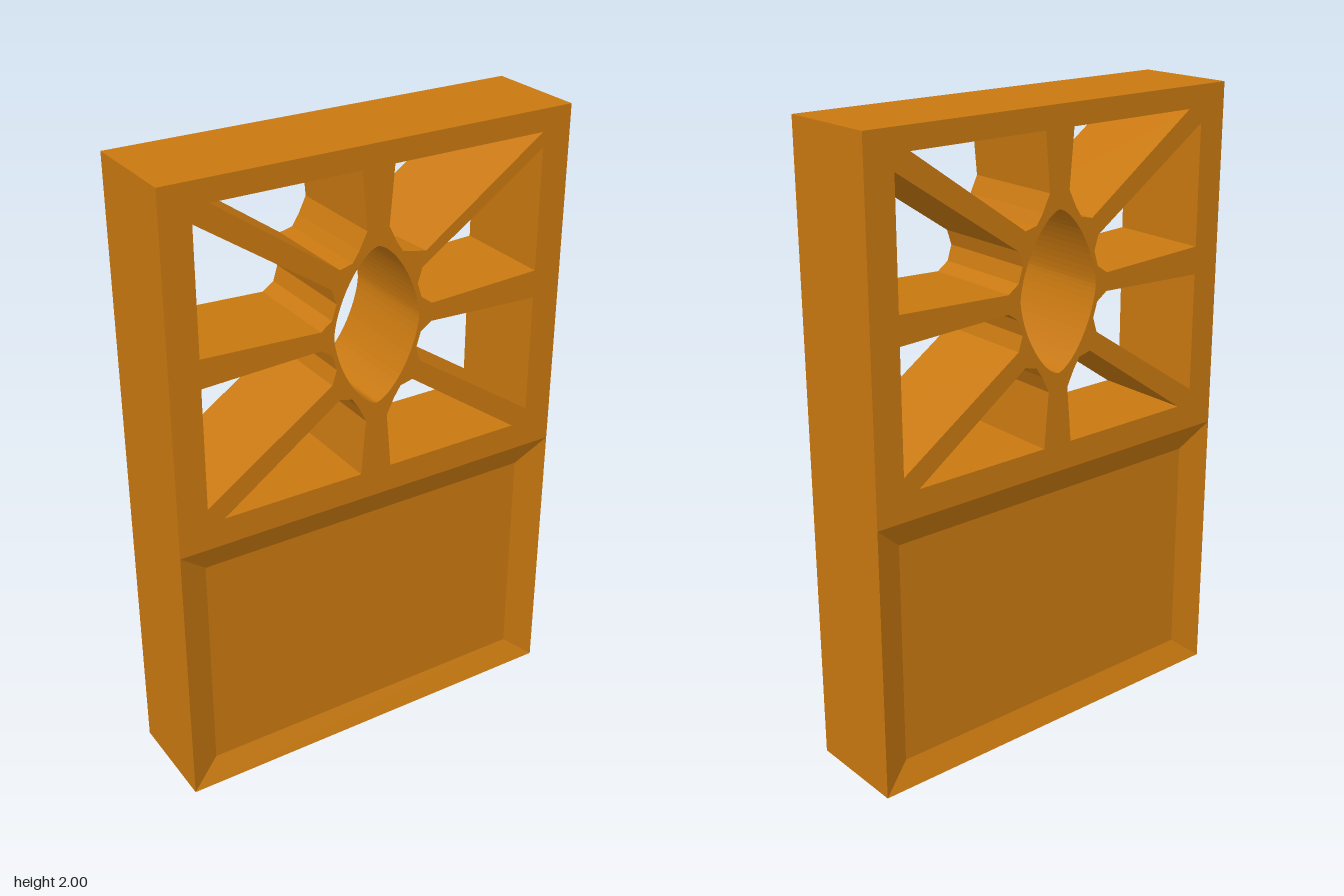
import * as THREE from 'three';

const W = 0.667, D = 0.167;      // half width, half depth
const SPLIT = 0.885, CY = 1.452; // top of lower panel, centre of the openwork

// Openings of one quadrant, relative to the centre of the openwork
const UPPER_HOLE = [[0.053, 0.479], [0.519, 0.479], [0.127, 0.204], [0.085, 0.214], [0.063, 0.247], [0.037, 0.3]];
const SIDE_HOLE = [[0.571, 0.431], [0.571, 0.045], [0.19, 0.029], [0.153, 0.055], [0.138, 0.103], [0.153, 0.15]];

// Upper slab pierced by eight spoke openings and a pointed oval
function openworkGeometry() {
  const shape = new THREE.Shape([[-W, SPLIT], [W, SPLIT], [W, 2], [-W, 2]].map(p => new THREE.Vector2(...p)));
  for (const sx of [1, -1]) for (const sy of [1, -1]) for (const hole of [UPPER_HOLE, SIDE_HOLE]) {
    shape.holes.push(new THREE.Path(hole.map(([x, y]) => new THREE.Vector2(sx * x, CY + sy * y))));
  }
  const oval = [], N = 64, e = 2 / 1.55;
  for (let i = 0; i < N; i++) {
    const c = Math.cos(i / N * Math.PI * 2), s = Math.sin(i / N * Math.PI * 2);
    oval.push(new THREE.Vector2(
      0.146 * Math.sign(c) * Math.abs(c) ** e,
      CY + 0.248 * Math.sign(s) * Math.abs(s) ** e));
  }
  shape.holes.push(new THREE.Path(oval));
  const geo = new THREE.ExtrudeGeometry(shape, { depth: 2 * D, bevelEnabled: false });
  geo.translate(0, 0, -D);

  // One diagonal spoke has a slanted wall: widen its opening at the front
  const p = geo.attributes.position;
  const moves = [[0.519, 0.479, 0.052, 0], [0.127, 0.204, 0.037, -0.005]];
  for (let i = 0; i < p.count; i++) for (const [x, y, dx, dy] of moves) {
    if (p.getZ(i) > 0 && Math.hypot(p.getX(i) - x, p.getY(i) - CY - y) < 1e-3) {
      p.setXY(i, x + dx, CY + y + dy);
      break;
    }
  }
  geo.computeVertexNormals();
  return geo;
}

// Lower slab with a bevelled recess on both faces, lofted through rectangles
function panelGeometry() {
  const rect = (x, y0, y1, z) => [[-x, y0, z], [x, y0, z], [x, y1, z], [-x, y1, z]];
  const zi = D - 0.036;
  const loops = [
    rect(0.571, 0.077, 0.8, -zi), rect(W, 0, SPLIT, -D),
    rect(W, 0, SPLIT, D), rect(0.571, 0.077, 0.8, zi),
  ];
  const pos = [];
  const quad = (a, b, c, d) => pos.push(...a, ...b, ...c, ...a, ...c, ...d);
  for (let k = 0; k < 3; k++) for (let i = 0; i < 4; i++) {
    const j = (i + 1) % 4;
    quad(loops[k][i], loops[k][j], loops[k + 1][j], loops[k + 1][i]);
  }
  quad(...loops[3]);
  quad(...[...loops[0]].reverse());
  const geo = new THREE.BufferGeometry();
  geo.setAttribute('position', new THREE.Float32BufferAttribute(pos, 3));
  geo.computeVertexNormals();
  return geo;
}

export function createModel() {
  const ochre = new THREE.MeshStandardMaterial({ color: 0xc87810 });
  ochre.name = 'ochre';
  const group = new THREE.Group();
  group.name = 'piercedPanel';
  const add = (name, geo) => {
    const mesh = new THREE.Mesh(geo, ochre);
    mesh.name = name;
    group.add(mesh);
  };
  add('openwork', openworkGeometry());
  add('recessedPanel', panelGeometry());
  return group;
}
